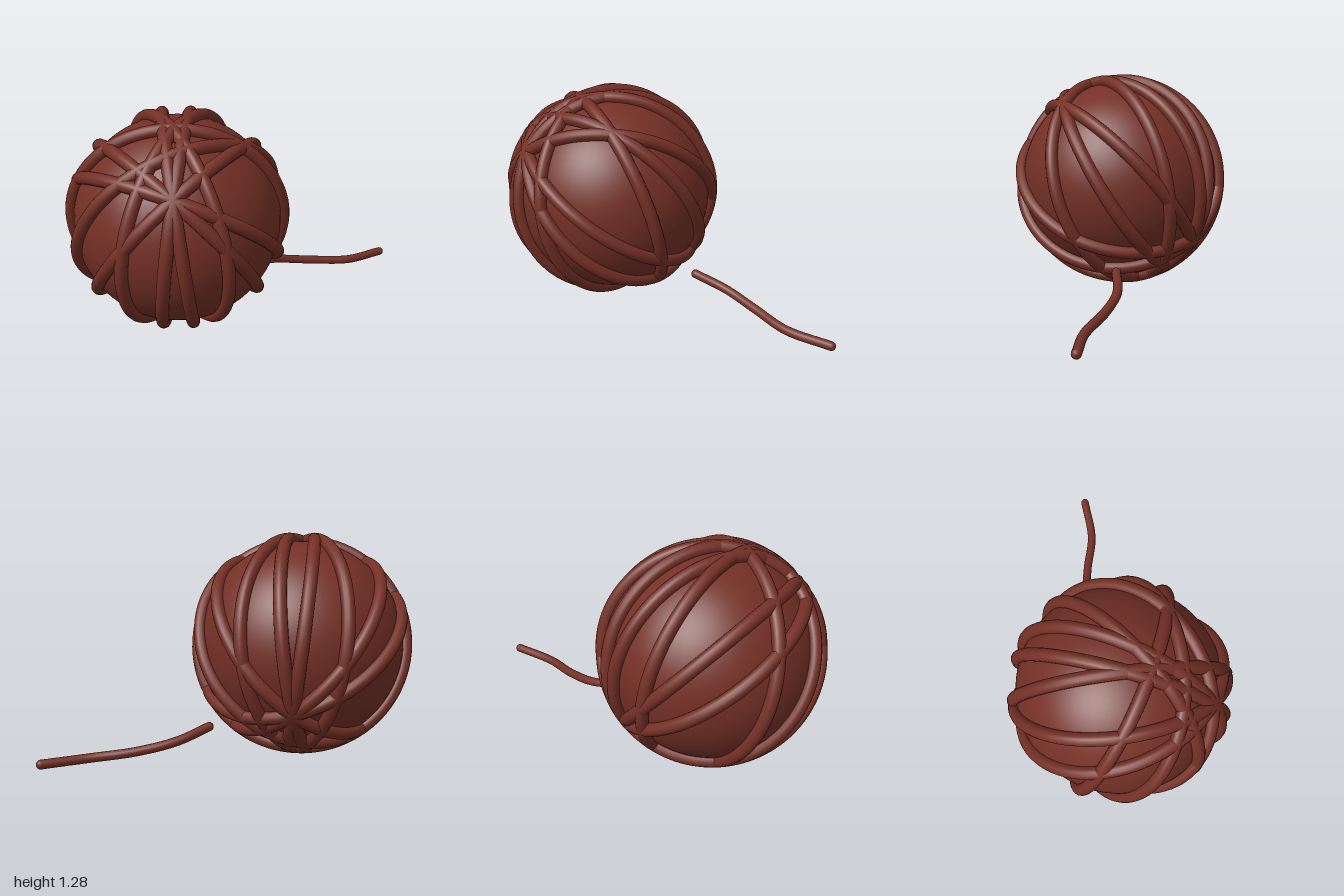
import * as THREE from 'three';

export function createModel() {
  const model = new THREE.Group();
  model.name = 'yarnBall';
  const yarn = new THREE.MeshStandardMaterial({ color: 0x743026 });
  yarn.name = 'russet yarn';

  const add = (parent, name, geometry) => {
    const mesh = new THREE.Mesh(geometry, yarn);
    mesh.name = name;
    parent.add(mesh);
    return mesh;
  };

  // Wound ball: a solid core wrapped by great-circle strands
  const ball = new THREE.Group();
  ball.name = 'ball';
  ball.position.set(-0.355, 0.645, 0.057);
  model.add(ball);
  add(ball, 'core', new THREE.SphereGeometry(0.592, 64, 40));

  // Each strand crosses the middle plane at a given elevation, then tilts sideways (degrees)
  const strands = [
    [30, 8], [30, -8],
    [71, 28], [71, -28],
    [30, 48], [30, -48],
    [30, -70],
    [54, 66],
    [72.5, 90],
  ];
  const loop = new THREE.TorusGeometry(0.606, 0.037, 14, 96);
  const forward = new THREE.Vector3(0, 0, 1);
  for (const [elevation, tilt] of strands) {
    const e = THREE.MathUtils.degToRad(elevation);
    const t = THREE.MathUtils.degToRad(tilt);
    const normal = new THREE.Vector3(
      Math.cos(t), -Math.sin(t) * Math.cos(e), Math.sin(t) * Math.sin(e));
    add(ball, 'woundStrand', loop).quaternion.setFromUnitVectors(forward, normal);
  }

  // Loose end trailing away behind the ball, with rounded tips
  const points = [
    [0.13, 0.21, -0.28], [0.29, 0.153, -0.405], [0.5, 0.108, -0.48],
    [0.74, 0.08, -0.54], [0.975, 0.074, -0.675],
  ].map((p) => new THREE.Vector3(...p));
  const path = new THREE.CatmullRomCurve3(points);
  add(model, 'looseEnd', new THREE.TubeGeometry(path, 48, 0.026, 14));
  for (const tip of [points[0], points[points.length - 1]]) {
    add(model, 'looseEndTip', new THREE.SphereGeometry(0.026, 16, 12)).position.copy(tip);
  }

  return model;
}
